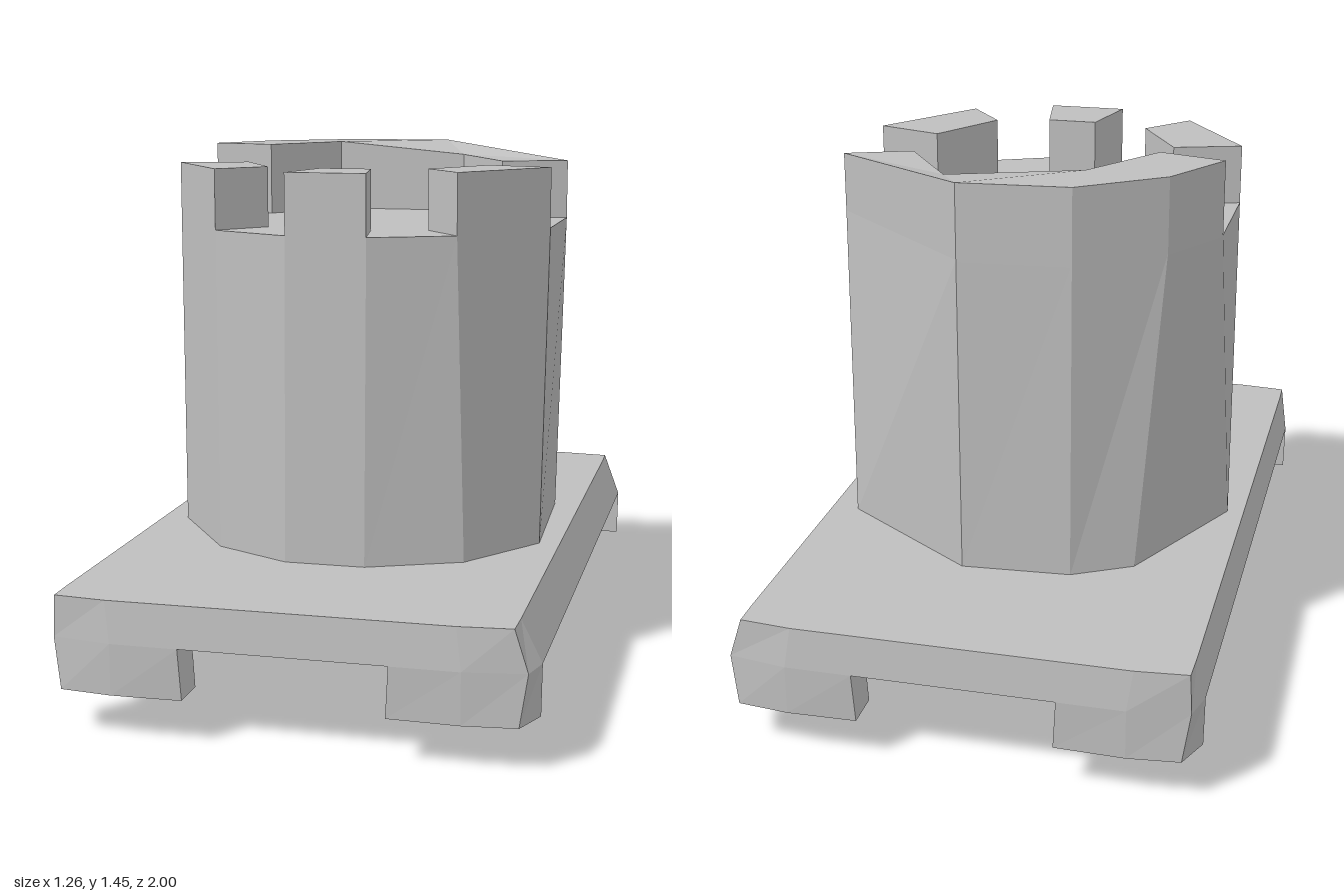
import * as THREE from 'three';

const stone = new THREE.MeshStandardMaterial({ color: 0xbfbfbf });
stone.name = 'grey';

// Faceted solid between two rings of [x, z, y?] points; y falls back to the given level.
function loft(name, lower, y0, upper, y1) {
  let low = lower.map(([x, z, y = y0]) => new THREE.Vector3(x, y, z));
  let high = upper.map(([x, z, y = y1]) => new THREE.Vector3(x, y, z));
  const flat = ring => ring.map(p => new THREE.Vector2(p.x, -p.z));
  if (THREE.ShapeUtils.area(flat(high)) < 0) {
    low = low.reverse();
    high = high.reverse();
  }
  const tris = [];
  low.forEach((p, i) => {
    const j = (i + 1) % low.length;
    tris.push(p, low[j], high[j], p, high[j], high[i]);
  });
  for (const [a, b, c] of THREE.ShapeUtils.triangulateShape(flat(high), [])) tris.push(high[a], high[b], high[c]);
  for (const [a, b, c] of THREE.ShapeUtils.triangulateShape(flat(low), [])) tris.push(low[a], low[c], low[b]);
  const geometry = new THREE.BufferGeometry().setFromPoints(tris);
  geometry.computeVertexNormals();
  const mesh = new THREE.Mesh(geometry, stone);
  mesh.name = name;
  return mesh;
}

// Mirrors one corner's points into a full ring.
function fourCorners(q) {
  const back = q.slice().reverse();
  return [
    ...q,
    ...back.map(([x, z]) => [-x, z]),
    ...q.map(([x, z]) => [-x, -z]),
    ...back.map(([x, z]) => [x, -z]),
  ];
}

export function createModel() {
  const model = new THREE.Group();
  model.name = 'towerOnBase';

  // Base plate with sloping sides and clipped corners
  const plateLow = fourCorners([[0.632, 0.89], [0.61, 0.975], [0.45, 1]]);
  const plateHigh = fourCorners([[0.592, 0.89], [0.59, 0.975], [0.45, 0.988]])
    .map(([x, z]) => [x - 0.015, z]);
  model.add(loft('basePlate', plateLow, 0.253, plateHigh, 0.363));

  // Corner feet and the recessed rails between them
  const footLow = [[0.262, 0.89], [0.63, 0.89], [0.59, 0.985], [0.45, 1], [0.262, 0.995]];
  const footHigh = [[0.27, 0.89], [0.632, 0.89], [0.61, 0.975], [0.45, 1], [0.27, 1]];
  const railLow = [[0.4, -0.9], [0.48, -0.9], [0.48, 0.9], [0.4, 0.9]];
  const railHigh = [[0.35, -0.9], [0.5, -0.9], [0.5, 0.9], [0.35, 0.9]];
  for (const sx of [-1, 1]) {
    const flip = (ring, sz) => ring.map(([x, z]) => [sx * x, sz * z]);
    for (const sz of [-1, 1]) {
      model.add(loft('foot', flip(footLow, sz), 0.117, flip(footHigh, sz), 0.253));
    }
    model.add(loft('rail', flip(railLow, 1), 0.13, flip(railHigh, 1), 0.253));
  }

  // Round peg under the plate
  const peg = new THREE.Mesh(new THREE.CylinderGeometry(0.158, 0.155, 0.255, 10).toNonIndexed(), stone);
  peg.geometry.computeVertexNormals();
  peg.position.y = 0.1275;
  peg.name = 'peg';
  model.add(peg);

  // Faceted tower body
  const bodyLow = [[0.1, 0.55], [0.35, 0.44], [0.52, 0.2], [0.5, -0.27], [0.1, -0.55], [-0.2, -0.53],
    [-0.36, -0.44], [-0.56, -0.03], [-0.535, 0.16], [-0.34, 0.44], [-0.12, 0.55]];
  const bodyHigh = [[0.105, 0.545], [0.325, 0.445], [0.53, 0.16], [0.53, -0.18], [0.1, -0.555], [-0.2, -0.53],
    [-0.42, -0.37], [-0.535, -0.17], [-0.535, 0.16], [-0.34, 0.44], [-0.115, 0.545]];
  model.add(loft('towerBody', bodyLow, 0.36, bodyHigh, 1.245));

  // Battlements: three front blocks and the taller curved back wall
  const blocks = {
    frontBattlement: [[-0.115, 0.545], [0.105, 0.545], [0.07, 0.35], [-0.07, 0.35]],
    rightBattlement: [[-0.535, 0.16], [-0.34, 0.44], [-0.23, 0.31], [-0.35, 0.1]],
    leftBattlement: [[0.53, 0.16], [0.325, 0.445], [0.22, 0.31], [0.345, 0.1]],
  };
  for (const [name, ring] of Object.entries(blocks)) model.add(loft(name, ring, 1.24, ring, 1.41));

  const wall = [[0.53, -0.18, 1.41], [0.1, -0.555], [-0.2, -0.53], [-0.42, -0.37], [-0.535, -0.17],
    [-0.35, -0.12], [-0.195, -0.355], [0.19, -0.355, 1.415], [0.35, -0.11, 1.41]];
  model.add(loft('backBattlement', wall.map(([x, z]) => [x, z]), 1.24, wall, 1.45));

  return model;
}
